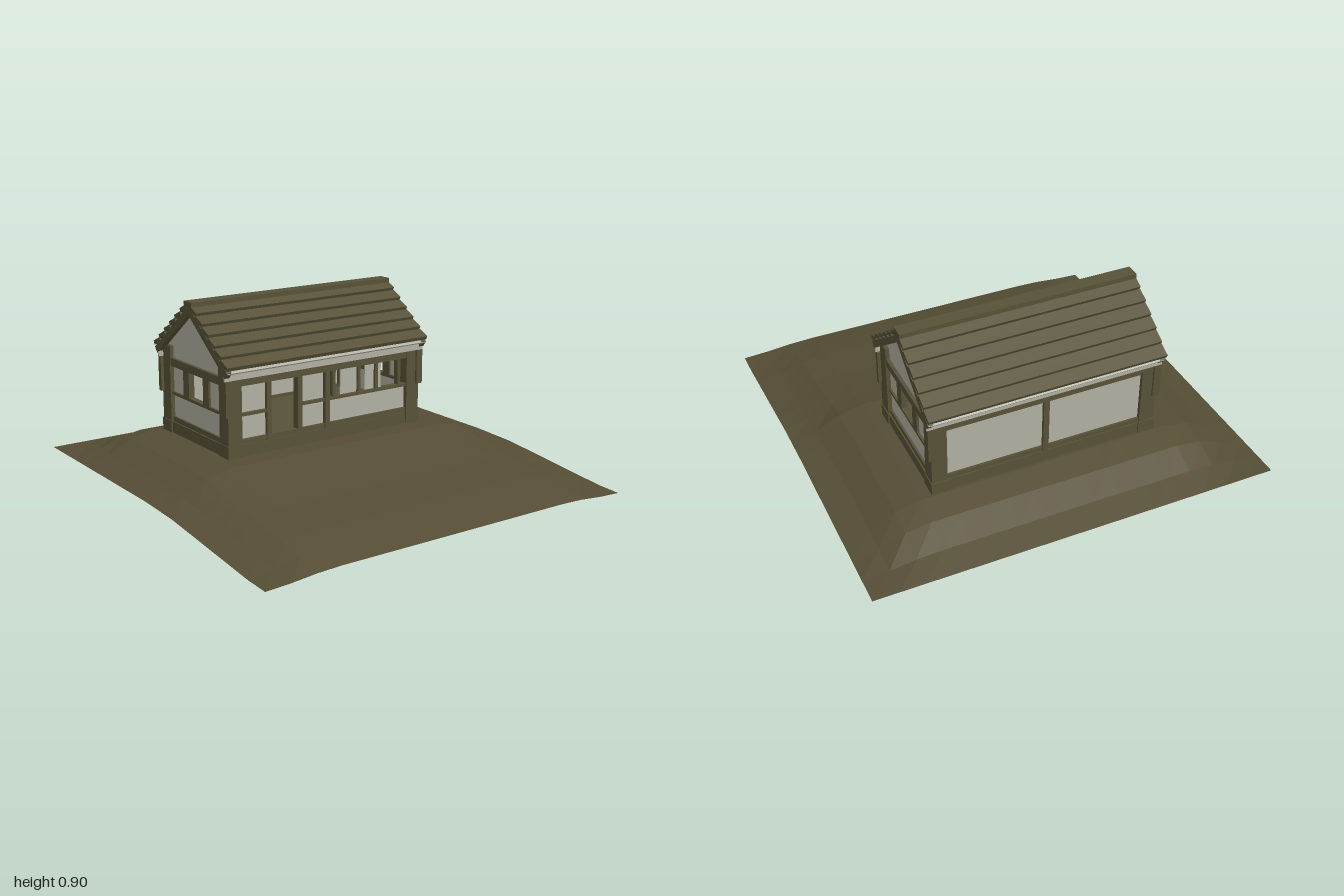
import * as THREE from 'three';

const wood = new THREE.MeshStandardMaterial({ color: 0x575238, flatShading: true });
wood.name = 'wood';
const earth = new THREE.MeshStandardMaterial({ color: 0x554d35, flatShading: true, side: THREE.DoubleSide });
earth.name = 'earth';
const plaster = new THREE.MeshStandardMaterial({ color: 0xb0b0a2, flatShading: true, side: THREE.DoubleSide });
plaster.name = 'plaster';

const RIDGE_Z = -0.3;

// Piecewise linear lookup through [position, value] points
function lerpTable(points, t) {
  for (let i = 1; i < points.length; i++) {
    const [a, va] = points[i - 1], [b, vb] = points[i];
    if (t <= b) return va + (vb - va) * (t - a) / (b - a);
  }
  return points[points.length - 1][1];
}

// Mound with a flat top and a rectangular pit below the house
function makeGround() {
  const ridge = [[-1, 0.08], [-0.875, 0.112], [-0.75, 0.17], [-0.625, 0.198], [0.125, 0.198],
    [0.25, 0.165], [0.5, 0.118], [0.75, 0.08], [0.875, 0.052], [1, 0.022]];
  const edge = [[-1, 0.08], [0, 0.08], [0.25, 0.07], [0.75, 0.018], [0.875, 0.005], [1, 0]];
  const rise = [[0, 1], [0.625, 1], [0.75, 0.8], [0.875, 0.28], [1, 0]];
  const n = 16, pos = [], idx = [];
  for (let j = 0; j <= n; j++) {
    for (let i = 0; i <= n; i++) {
      const x = -1 + 2 * i / n, z = -1 + 2 * j / n;
      const low = lerpTable(edge, z);
      pos.push(x, low + (lerpTable(ridge, z) - low) * lerpTable(rise, Math.abs(x)), z);
    }
  }
  for (let j = 0; j < n; j++) {
    for (let i = 0; i < n; i++) {
      if (i >= 4 && i < 12 && j >= 4 && j < 8) continue;
      const a = j * (n + 1) + i, b = a + 1, c = a + n + 1, d = c + 1;
      idx.push(a, c, b, b, c, d);
    }
  }
  const geo = new THREE.BufferGeometry();
  geo.setAttribute('position', new THREE.Float32BufferAttribute(pos, 3));
  geo.setIndex(idx);
  geo.computeVertexNormals();
  const mesh = new THREE.Mesh(geo, earth);
  mesh.name = 'ground';
  return mesh;
}

export function createModel() {
  const model = new THREE.Group();
  model.name = 'cottageOnMound';
  model.add(makeGround());

  // Box from its limits
  function box(name, mat, x0, x1, y0, y1, z0, z1) {
    const mesh = new THREE.Mesh(new THREE.BoxGeometry(x1 - x0, y1 - y0, z1 - z0), mat);
    mesh.position.set((x0 + x1) / 2, (y0 + y1) / 2, (z0 + z1) / 2);
    mesh.name = name;
    model.add(mesh);
    return mesh;
  }

  // Sloped board between two points given as [distance from ridge, height] of the top face
  function sloped(name, mat, side, x0, x1, [d0, y0], [d1, y1], thick) {
    const len = Math.hypot(d1 - d0, y1 - y0), ang = Math.atan2(y0 - y1, d1 - d0);
    const mesh = new THREE.Mesh(new THREE.BoxGeometry(x1 - x0, thick, len), mat);
    mesh.rotation.x = side * ang;
    mesh.position.set((x0 + x1) / 2,
      (y0 + y1) / 2 - Math.cos(ang) * thick / 2,
      RIDGE_Z + side * ((d0 + d1) / 2 - Math.sin(ang) * thick / 2));
    mesh.name = name;
    model.add(mesh);
  }

  // Floor, joists and lining of the pit
  box('floor', wood, -0.53, 0.53, 0.255, 0.265, -0.58, -0.02);
  for (let i = 0; i < 8; i++) {
    const x = -0.42 + i * 0.12;
    box('joist', wood, x - 0.02, x + 0.02, 0.215, 0.255, -0.58, -0.02);
  }
  box('pitLiningFront', plaster, -0.53, 0.53, 0.19, 0.255, -0.03, -0.024);
  box('pitLiningBack', plaster, -0.53, 0.53, 0.19, 0.255, -0.576, -0.57);
  for (const s of [-1, 1]) box('pitLiningEnd', plaster, s * 0.52 - 0.003, s * 0.52 + 0.003, 0.19, 0.255, -0.57, -0.03);

  // Sills and top beams along front and back
  for (const [z0, z1] of [[-0.03, 0.012], [-0.612, -0.57]]) {
    box('sillBeam', wood, -0.56, 0.56, 0.19, 0.255, z0, z1);
    box('bottomRail', wood, -0.55, 0.55, 0.255, 0.28, z0 + 0.005, z1 - 0.005);
    box('topBeam', wood, -0.56, 0.56, 0.54, 0.575, z0, z1);
    box('middlePost', wood, -0.014, 0.014, 0.255, 0.545, z0, z1);
  }

  // Corner posts with thicker heads
  for (const sx of [-1, 1]) {
    for (const sz of [-1, 1]) {
      const x = sx * 0.527, z = RIDGE_Z + sz * 0.274;
      box('cornerPost', wood, x - 0.038, x + 0.038, 0.19, 0.575, z - 0.04, z + 0.04);
      box('postFoot', wood, x - 0.042, x + 0.042, 0.19, 0.26, z - 0.044, z + 0.044);
      const xo = sx * 0.563, zo = RIDGE_Z + sz * 0.312;
      box('cornerBracket', wood, xo - 0.018, xo + 0.018, 0.4, 0.575, zo - 0.012, zo + 0.012);
    }
  }

  // Front wall: filled bays, open door, long window
  for (const x of [-0.335, -0.16]) box('frontPost', wood, x - 0.013, x + 0.013, 0.255, 0.545, -0.028, 0.01);
  for (const [x0, x1] of [[-0.49, -0.345], [-0.15, -0.01], [0.01, 0.49]]) {
    box('frontRail', wood, x0, x1, 0.393, 0.408, -0.026, 0.008);
    box('frontLowerPanel', plaster, x0, x1, 0.27, 0.4, -0.016, -0.008);
  }
  for (const [x0, x1] of [[-0.49, -0.345], [-0.15, -0.01], [0.09, 0.19], [0.24, 0.34]]) {
    box('frontUpperPanel', plaster, x0, x1, 0.4, 0.545, -0.016, -0.008);
  }
  for (const x of [0.045, 0.197, 0.305, 0.447]) box('windowBar', wood, x - 0.009, x + 0.009, 0.4, 0.545, -0.024, 0.004);

  // Back wall: two tall panels
  for (const [x0, x1] of [[-0.5, -0.01], [0.01, 0.5]]) {
    box('backPanel', plaster, x0, x1, 0.27, 0.55, -0.596, -0.588);
  }

  // End walls with an open middle window, and gables
  const gable = new THREE.Shape([[-0.315, 0.575], [0.315, 0.575], [0.315, 0.62], [0, 0.865], [-0.315, 0.62]]
    .map(([a, b]) => new THREE.Vector2(a, b)));
  for (const s of [-1, 1]) {
    const end = (name, mat, y0, y1, d0, d1, inner, outer) =>
      box(name, mat, Math.min(s * inner, s * outer), Math.max(s * inner, s * outer), y0, y1, RIDGE_Z + d0, RIDGE_Z + d1);
    end('endSill', wood, 0.19, 0.255, -0.3, 0.3, 0.52, 0.562);
    end('endBottomRail', wood, 0.255, 0.28, -0.29, 0.29, 0.525, 0.555);
    end('endMiddleRail', wood, 0.393, 0.408, -0.25, 0.25, 0.525, 0.555);
    end('endTopBeam', wood, 0.54, 0.58, -0.3, 0.3, 0.52, 0.562);
    end('endLowerPanel', plaster, 0.27, 0.4, -0.24, 0.24, 0.536, 0.544);
    for (const t of [-1, 1]) {
      end('endWindowPost', wood, 0.4, 0.545, t * 0.095 - 0.027, t * 0.095 + 0.027, 0.525, 0.555);
      end('endWindowPanel', plaster, 0.4, 0.545, t * 0.18 - 0.06, t * 0.18 + 0.06, 0.536, 0.544);
      end('gablePost', wood, 0.575, 0.64, t * 0.265 - 0.035, t * 0.265 + 0.035, 0.53, 0.565);
    }
    const mesh = new THREE.Mesh(new THREE.ShapeGeometry(gable), plaster);
    mesh.rotation.y = s * Math.PI / 2;
    mesh.position.set(s * 0.545, 0, RIDGE_Z);
    mesh.name = 'gable';
    model.add(mesh);
  }

  // Roof: overlapping boards, pale lining, eave strip and barge boards
  const rows = 6, at = t => [0.02 + 0.33 * t, 0.888 - 0.25 * t];
  for (const side of [-1, 1]) {
    for (let i = 0; i < rows; i++) {
      const [d0, y0] = at(i / rows), [d1, y1] = at((i + 1) / rows);
      sloped('roofBoard', wood, side, -0.588, 0.586, [d0, y0 - 0.004], [d1 + 0.004, y1 + 0.01], 0.02);
    }
    sloped('roofLining', plaster, side, -0.582, 0.582, [0.005, 0.871], [0.345, 0.617], 0.008);
    const z = RIDGE_Z + side * 0.316;
    box('eaveStrip', plaster, -0.584, 0.584, 0.575, 0.626, z - 0.004, z + 0.004);
    for (const s of [-1, 1]) {
      sloped('bargeBoard', wood, side, s * 0.573 - 0.013, s * 0.573 + 0.013, [0, 0.88], [0.345, 0.62], 0.034);
    }
  }
  box('ridgeCap', wood, -0.588, 0.586, 0.872, 0.9, RIDGE_Z - 0.035, RIDGE_Z + 0.035);
  box('ridgeBeam', wood, -0.575, 0.575, 0.825, 0.872, RIDGE_Z - 0.018, RIDGE_Z + 0.018);
  return model;
}
